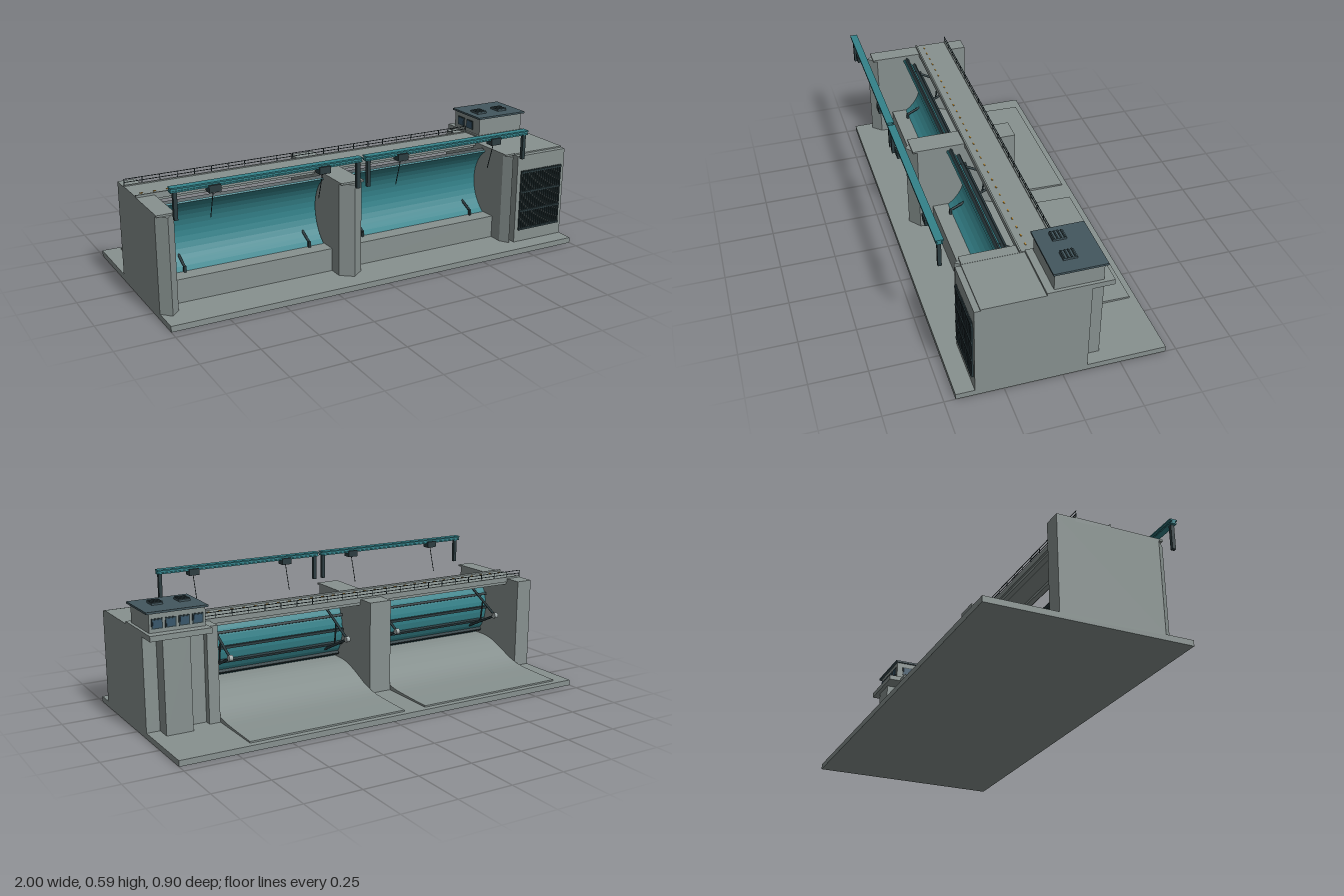
import * as THREE from 'three';

const mat = (name, color) => Object.assign(new THREE.MeshStandardMaterial({ color }), { name });
const M = {
  concrete: mat('concrete', 0x87918f),
  teal: mat('teal steel', 0x34828a),
  dark: mat('dark steel', 0x2c3c40),
  slate: mat('slate roof', 0x43575e),
  glass: mat('window glass', 0x38566a),
  amber: mat('amber marker', 0xc8912e),
  pale: mat('pale metal', 0xa3adad),
};

export function createModel() {
  const root = new THREE.Group();
  root.name = 'spillwayDam';

  const add = (name, geo, m) => {
    const mesh = new THREE.Mesh(geo, m);
    mesh.name = name;
    root.add(mesh);
    return mesh;
  };
  // Box given by its limits on each axis
  const box = (name, x0, x1, y0, y1, z0, z1, m) => {
    const g = new THREE.BoxGeometry(x1 - x0, y1 - y0, z1 - z0);
    g.translate((x0 + x1) / 2, (y0 + y1) / 2, (z0 + z1) / 2);
    return add(name, g, m);
  };
  // Round rod between two points
  const rod = (name, a, b, r, m) => {
    const p = new THREE.Vector3(...a), q = new THREE.Vector3(...b);
    const mesh = add(name, new THREE.CylinderGeometry(r, r, p.distanceTo(q), 8), m);
    mesh.position.copy(p).add(q).multiplyScalar(0.5);
    mesh.quaternion.setFromUnitVectors(new THREE.Vector3(0, 1, 0), q.sub(p).normalize());
    return mesh;
  };
  const shapeOf = (pts) => new THREE.Shape(pts.map(([a, b]) => new THREE.Vector2(a, b)));
  // Profile in (z, y), swept along x
  const sweepX = (name, pts, x0, x1, m) => {
    const g = new THREE.ExtrudeGeometry(shapeOf(pts), { depth: x1 - x0, bevelEnabled: false });
    g.rotateY(-Math.PI / 2).translate(x1, 0, 0);
    return add(name, g, m);
  };
  // Plan in (x, z), raised along y
  const raise = (name, pts, y0, y1, m) => {
    const g = new THREE.ExtrudeGeometry(shapeOf(pts), { depth: y1 - y0, bevelEnabled: false });
    g.rotateX(Math.PI / 2).translate(0, y1, 0);
    return add(name, g, m);
  };

  box('baseSlab', -1, 1, 0, 0.026, -0.452, 0.452, M.concrete);

  // Piers with pointed noses and flat caps
  const piers = [[-1, -0.92], [-0.18, -0.07], [0.68, 0.73]];
  for (const [a, b] of piers) {
    const mid = (a + b) / 2;
    raise('pier', [[a, -0.138], [b, -0.138], [b, 0.325], [mid, 0.368], [a, 0.325]], 0.026, 0.446, M.concrete);
    box('pierCap', a, b, 0.446, 0.454, -0.138, 0.345, M.concrete);
  }

  // Each bay: spillway, curved gate, ribs, arms
  const R = 0.18, cz = 0.29, cy = 0.28, half = 0.985, N = 14;
  const onArc = (r, t) => [cz - r * Math.cos(t), cy + r * Math.sin(t)];
  const spill = new THREE.SplineCurve(
    [[0.12, 0.13], [0.06, 0.122], [-0.02, 0.094], [-0.1, 0.06], [-0.18, 0.042], [-0.29, 0.036], [-0.424, 0.033]]
      .map(([z, y]) => new THREE.Vector2(z, y))).getPoints(20).map((p) => [p.x, p.y]);
  for (const [a, b, arms] of [[-0.92, -0.18, [-0.84, -0.26]], [-0.07, 0.68, [0.01, 0.595]]]) {
    sweepX('spillway', [[0.262, 0.026], [0.262, 0.13], ...spill, [-0.424, 0.026]], a, b, M.concrete);
    const skin = [];
    for (let i = 0; i <= N; i++) skin.push(onArc(R, -half + (2 * half * i) / N));
    for (let i = N; i >= 0; i--) skin.push(onArc(R + 0.008, -half + (2 * half * i) / N));
    sweepX('gateSkin', skin, a + 0.004, b - 0.004, M.teal);
    for (const t of [-0.7, -0.35, 0, 0.35, 0.65, 0.92]) {
      const [z, y] = onArc(R + 0.013, t);
      const rib = box('gateRib', a + 0.005, b - 0.005, -0.006, 0.006, -0.009, 0.009, M.dark);
      rib.position.set(0, y, z);
      rib.rotation.x = t;
    }
    for (const x of arms) {
      rod('gateArm', [x, 0.28, -0.07], [x, 0.152, 0.2], 0.006, M.dark);
      rod('gateArm', [x, 0.28, -0.07], [x, 0.4, 0.15], 0.006, M.dark);
      rod('armBrace', [x, 0.225, 0.045], [x, 0.335, 0.03], 0.004, M.dark);
      rod('trunnion', [x - 0.009, 0.28, -0.07], [x + 0.009, 0.28, -0.07], 0.014, M.pale);
      box('gateLug', x - 0.005, x + 0.005, 0.13, 0.158, 0.192, 0.204, M.dark);
    }
  }

  // Bridge deck, girders, curb and lane markers
  box('bridgeDeck', -1, 0.73, 0.438, 0.457, -0.055, 0.105, M.concrete);
  for (const z of [-0.035, 0.08]) box('deckGirder', -0.99, 0.73, 0.425, 0.438, z - 0.012, z + 0.012, M.concrete);
  box('frontCurb', -1, 0.73, 0.457, 0.464, 0.098, 0.105, M.concrete);
  box('backCurb', -1, 0.73, 0.457, 0.462, -0.055, -0.048, M.concrete);
  for (let i = 0; i < 30; i++) {
    const x = -0.97 + i * 0.057;
    box('laneMarker', x, x + 0.012, 0.457, 0.46, 0.064, 0.069, M.amber);
  }
  // Railing on the downstream edge
  for (const y of [0.474, 0.488]) rod('handrail', [-1, y, -0.051], [0.73, y, -0.051], 0.0018, M.dark);
  for (let i = 0; i <= 22; i++) {
    const x = -0.998 + i * 0.0785;
    rod('railPost', [x, 0.457, -0.051], [x, 0.489, -0.051], 0.0018, M.dark);
  }

  // Hoist beams with posts, winches and ropes
  for (const [a, b, posts, winches] of [
    [-0.97, -0.133, [-0.95, -0.147], [-0.79, -0.31]],
    [-0.115, 0.722, [-0.098, 0.708], [0.063, 0.545]],
  ]) {
    box('hoistBeam', a, b, 0.575, 0.584, 0.419, 0.437, M.teal);
    box('hoistBeamTop', a, b, 0.584, 0.59, 0.41, 0.444, M.teal);
    box('hoistBeamFoot', a, b, 0.569, 0.575, 0.413, 0.441, M.teal);
    for (const x of posts) box('hoistPost', x - 0.008, x + 0.008, 0.455, 0.57, 0.42, 0.436, M.dark);
    for (const x of winches) {
      box('winch', x - 0.025, x + 0.025, 0.547, 0.577, 0.408, 0.448, M.dark);
      rod('hoistRope', [x, 0.55, 0.426], [x, 0.425, 0.388], 0.0018, M.dark);
    }
  }

  // Intake block with rear buttress and platform
  box('intakeBlock', 0.73, 1, 0.026, 0.447, -0.105, 0.372, M.concrete);
  box('blockCap', 0.73, 1, 0.447, 0.453, 0.08, 0.347, M.concrete);
  box('rearButtress', 0.82, 0.94, 0.026, 0.44, -0.178, -0.105, M.concrete);
  box('platform', 0.73, 1, 0.44, 0.464, -0.197, 0.082, M.concrete);

  // Trash rack
  for (let i = 0; i < 19; i++) {
    const x = 0.753 + i * 0.0125;
    box('rackBar', x - 0.003, x + 0.003, 0.083, 0.374, 0.372, 0.379, M.dark);
  }
  for (const y of [0.088, 0.178, 0.27, 0.366]) box('rackCrossbar', 0.75, 0.981, y - 0.004, y + 0.004, 0.372, 0.382, M.dark);

  // Control house
  box('controlHouse', 0.74, 0.986, 0.464, 0.545, -0.155, 0.05, M.concrete);
  box('houseRoof', 0.73, 1, 0.545, 0.554, -0.165, 0.06, M.slate);
  for (const x of [0.79, 0.91]) {
    box('roofVent', x - 0.025, x + 0.025, 0.554, 0.562, -0.062, -0.002, M.slate);
    for (let i = 0; i < 4; i++) {
      const z = -0.056 + i * 0.015;
      box('ventSlat', x - 0.025, x + 0.025, 0.562, 0.566, z, z + 0.006, M.dark);
    }
  }
  for (let i = 0; i < 4; i++) {
    const x = 0.775 + i * 0.059;
    box('windowFrame', x - 0.024, x + 0.024, 0.48, 0.523, -0.159, -0.155, M.dark);
    box('windowPane', x - 0.019, x + 0.019, 0.485, 0.518, -0.161, -0.159, M.glass);
  }
  for (const z of [-0.1, -0.03]) {
    box('sideWindowFrame', 0.737, 0.74, 0.48, 0.523, z - 0.026, z + 0.026, M.dark);
    box('sideWindowPane', 0.735, 0.737, 0.485, 0.518, z - 0.021, z + 0.021, M.glass);
  }
  return root;
}
